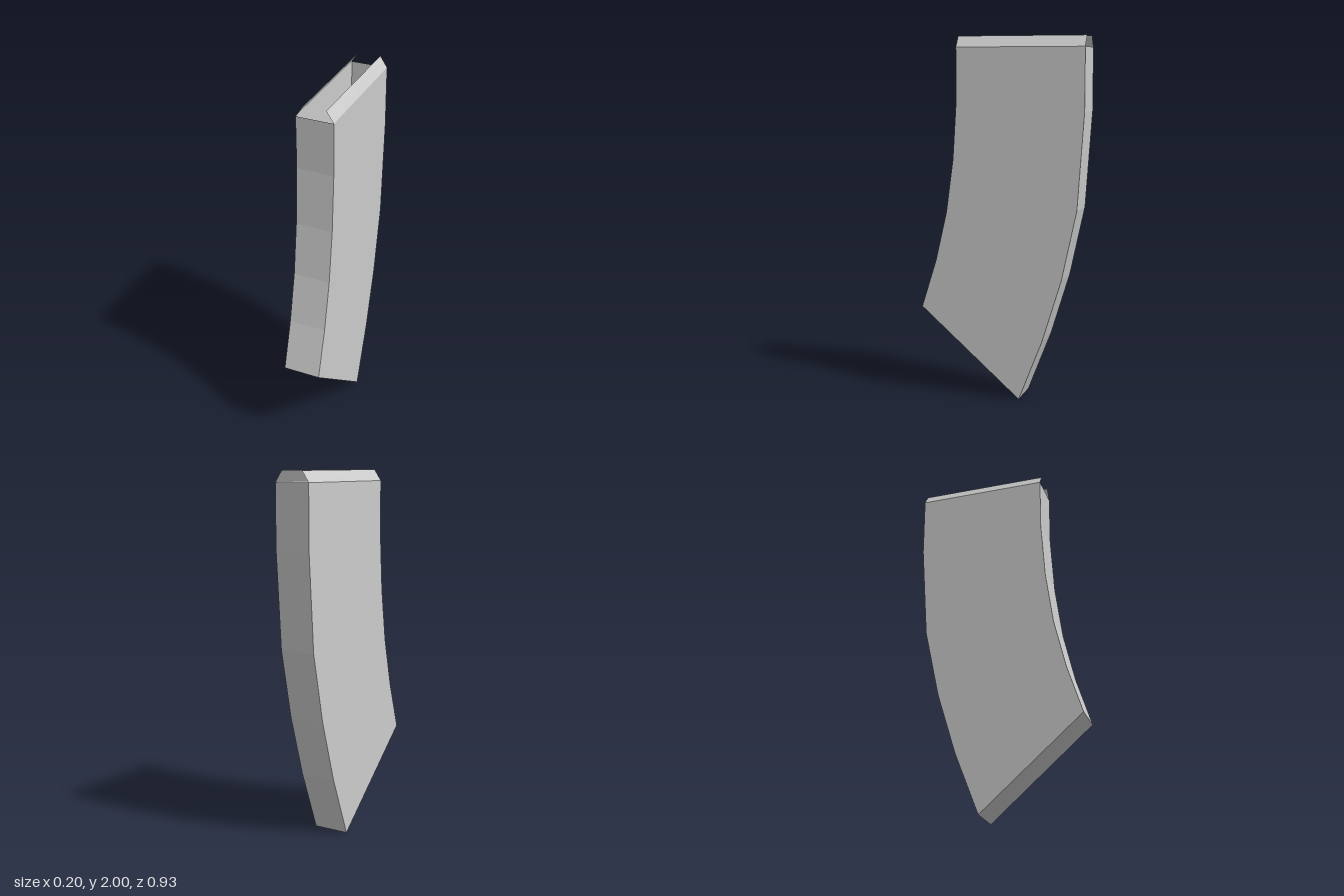
import * as THREE from 'three';

const W = 0.102;      // half width
const LIP_X = 0.062;  // half width of the top opening
const RIM = 1.94;     // top of the walls
const TOP = 2;        // top of the folded lips

// Side profile as [z, y]: front edge downwards, back edge upwards
const FRONT = [[0.254, RIM], [0.254, 1.65], [0.275, 1.33], [0.316, 1.035], [0.38, 0.762], [0.465, 0.494]];
const BACK = [[-0.103, 0], [-0.237, 0.345], [-0.342, 0.688], [-0.424, 1.07], [-0.461, 1.6], [-0.461, RIM]];

// Flat-shaded surface from four-cornered faces (counter-clockwise from outside)
function quads(faces) {
  const pos = [];
  for (const [a, b, c, d] of faces) pos.push(...a, ...b, ...c, ...a, ...c, ...d);
  const geo = new THREE.BufferGeometry();
  geo.setAttribute('position', new THREE.Float32BufferAttribute(pos, 3));
  geo.computeVertexNormals();
  return geo;
}

// Wall that sweeps the full width along a [z, y] path
function wall(path) {
  return quads(path.slice(1).map(([z1, y1], i) => {
    const [z0, y0] = path[i];
    return [[-W, y0, z0], [-W, y1, z1], [W, y1, z1], [W, y0, z0]];
  }));
}

// Flat side plate; s = 1 is left (+x), s = -1 is right
function sidePlate(s) {
  const outline = [...FRONT, ...BACK].map(([z, y]) => new THREE.Vector2(-s * z, y));
  return new THREE.ShapeGeometry(new THREE.Shape(outline))
    .rotateY(s * Math.PI / 2)
    .translate(s * W, 0, 0);
}

// Lip folded inwards from the top of a side plate
function lip(s) {
  const zf = FRONT[0][0], zb = BACK[BACK.length - 1][0];
  const face = [[s * W, RIM, zf], [s * W, RIM, zb], [s * LIP_X, TOP, zb], [s * LIP_X, TOP, zf]];
  return quads([s > 0 ? face : face.reverse()]);
}

export function createModel() {
  const group = new THREE.Group();
  group.name = 'curvedCase';
  const material = new THREE.MeshStandardMaterial({
    color: 0xcccccc, flatShading: true, side: THREE.DoubleSide,
  });
  const add = (name, geometry) => {
    const mesh = new THREE.Mesh(geometry, material);
    mesh.name = name;
    group.add(mesh);
  };

  // Curved walls and slanted base, open at the top
  add('frontWall', wall(FRONT));
  add('base', wall([FRONT[FRONT.length - 1], BACK[0]]));
  add('backWall', wall(BACK));

  // Mirrored sides and lips
  for (const [side, s] of [['left', 1], ['right', -1]]) {
    add(side + 'Side', sidePlate(s));
    add(side + 'Lip', lip(s));
  }
  return group;
}
